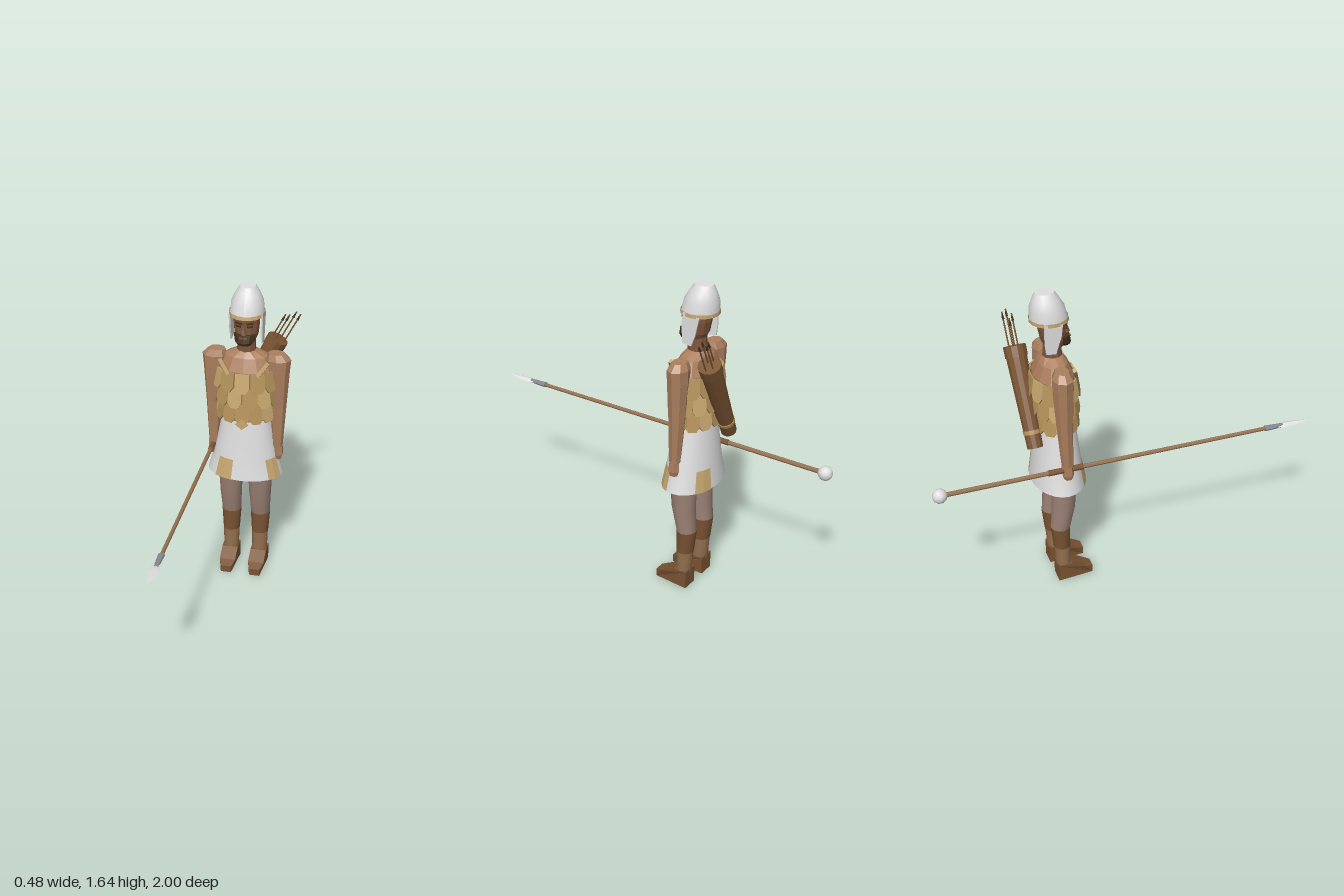
import * as THREE from 'three';

const mat = (name, color, side = THREE.FrontSide) => {
  const m = new THREE.MeshStandardMaterial({ color, side });
  m.name = name;
  return m;
};

// Skin over elliptical rings [x, y, z, rx, rz], listed bottom to top, angle 0 facing front
function loft(rings, n, { flat = true, from = 0, to = 360, caps = true } = {}) {
  const pos = [], idx = [];
  const rad = Math.PI / 180;
  for (const [x, y, z, rx, rz] of rings) {
    for (let i = 0; i <= n; i++) {
      const a = (from + ((to - from) * i) / n) * rad;
      pos.push(x + rx * Math.sin(a), y, z + rz * Math.cos(a));
    }
  }
  const w = n + 1;
  for (let r = 0; r < rings.length - 1; r++) {
    for (let i = 0; i < n; i++) {
      const a = r * w + i, b = a + 1, c = a + w, d = b + w;
      idx.push(a, b, d, a, d, c);
    }
  }
  if (caps) {
    for (const r of [0, rings.length - 1]) {
      const base = pos.length / 3;
      const [x, y, z] = rings[r];
      pos.push(x, y, z);
      for (let i = 0; i <= n; i++) pos.push(...pos.slice((r * w + i) * 3, (r * w + i) * 3 + 3));
      for (let i = 1; i <= n; i++) idx.push(base, ...(r ? [base + i, base + i + 1] : [base + i + 1, base + i]));
    }
  }
  let g = new THREE.BufferGeometry();
  g.setAttribute('position', new THREE.Float32BufferAttribute(pos, 3));
  g.setIndex(idx);
  if (flat) g = g.toNonIndexed();
  g.computeVertexNormals();
  return g;
}

function outline(points, depth) {
  const s = new THREE.Shape(points.map(([x, y]) => new THREE.Vector2(x, y)));
  return new THREE.ExtrudeGeometry(s, { depth, bevelEnabled: false });
}

export function createModel() {
  const skin = mat('skin', 0xab7f5e), face = mat('face skin', 0x7d563c);
  const legSkin = mat('leg skin', 0x9c8276), gold = mat('gold', 0xb4925a);
  const pale = mat('pale gold', 0xc8a870, THREE.DoubleSide), leather = mat('leather', 0x7a5433);
  const white = mat('white', 0xdedede, THREE.DoubleSide), steel = mat('steel', 0x85888c);
  const wood = mat('wood', 0x94704f), dark = mat('dark brown', 0x46301f);

  const model = new THREE.Group();
  const body = new THREE.Group();
  body.name = 'figure';
  body.position.set(-0.02, 0, -0.33);
  model.add(body);
  const add = (name, geo, material, parent = body, p = [0, 0, 0], r = [0, 0, 0]) => {
    const m = new THREE.Mesh(geo, material);
    m.name = name;
    m.position.set(...p);
    m.rotation.set(...r);
    parent.add(m);
    return m;
  };

  // Torso and neck
  add('torso', loft([[0, 0.9, 0, 0.12, 0.09], [0, 1.1, 0, 0.14, 0.1], [0, 1.21, 0, 0.15, 0.1],
    [0, 1.28, 0, 0.115, 0.07], [0, 1.31, 0, 0.05, 0.048]], 12), skin);
  add('neck', loft([[0, 1.29, 0, 0.05, 0.05], [0, 1.4, 0.002, 0.045, 0.045]], 10), face);

  // Kilt with three hem patches
  const kilt = [[0, 0.597, 0.005, 0.203, 0.137], [0, 0.71, 0.003, 0.17, 0.122], [0, 0.93, 0, 0.128, 0.1]];
  add('kilt', loft(kilt, 24, { flat: false, caps: false }), white);
  const patch = kilt.slice(0, 2).map(([x, y, z, rx, rz]) => [x, y, z, rx + 0.003, rz + 0.003]);
  for (const a of [-45, 45, 135])
    add('kiltPatch', loft(patch, 2, { from: a, to: a + 30, caps: false }), pale);

  // Scale armour: three overlapping rows of pointed plates
  const scale = outline([[-0.036, 0], [0.036, 0], [0.038, -0.075], [0.02, -0.105], [-0.02, -0.105], [-0.038, -0.075]], 0.009);
  [[1.21, 0.148, 0.102], [1.12, 0.143, 0.099], [1.03, 0.132, 0.095]].forEach(([y, rx, rz], row) => {
    for (let i = 0; i < 12; i++) {
      const a = ((i + (row % 2) * 0.5) / 12) * Math.PI * 2;
      const turn = Math.atan2(Math.sin(a) / rx, Math.cos(a) / rz);
      const m = add('armourScale', scale, (i * 5 + row * 2) % 7 < 2 ? pale : gold, body,
        [rx * Math.sin(a), y, rz * Math.cos(a)], [-0.16, turn, 0]);
      m.rotation.order = 'YXZ';
    }
  });
  const tip = outline([[-0.035, 0], [0, 0.03], [0.035, 0], [0, -0.028]], 0.01);
  add('beltOrnament', tip, pale, body, [0, 0.925, 0.112]);

  for (const s of [-1, 1]) {
    // Shoulder strap
    add('shoulderStrap', new THREE.BoxGeometry(0.02, 0.09, 0.014), gold, body, [s * 0.1, 1.235, 0.083], [-0.35, 0, -s * 0.6]);

    // Arm and hand
    add('arm', loft([[s * 0.172, 0.765, 0.01, 0.027, 0.03], [s * 0.17, 1.0, 0.002, 0.043, 0.042],
      [s * 0.166, 1.2, 0, 0.06, 0.053], [s * 0.166, 1.265, 0, 0.066, 0.053],
      [s * 0.155, 1.298, 0, 0.045, 0.035]], 8), skin);
    add('hand', loft([[s * 0.178, 0.69, 0.012, 0.018, 0.022], [s * 0.178, 0.715, 0.012, 0.025, 0.03],
      [s * 0.175, 0.77, 0.01, 0.025, 0.027]], 6), skin);

    // Leg, shin guard, ankle
    const x = s * 0.08;
    add('upperLeg', loft([[x, 0.325, -0.01, 0.052, 0.05], [x, 0.46, 0.01, 0.06, 0.061],
      [x, 0.66, 0.015, 0.07, 0.072]], 12, { flat: false }), legSkin);
    add('shinGuard', loft([[x, 0.205, -0.004, 0.046, 0.044], [x, 0.33, -0.01, 0.054, 0.052]], 12, { flat: false }), leather);
    add('ankle', loft([[x, 0.07, 0.002, 0.041, 0.038], [x, 0.21, -0.003, 0.045, 0.043]], 12, { flat: false }), wood);

    // Shoe: side profile extruded across, narrowed at the toe
    const shoe = outline([[0.035, 0], [-0.154, 0], [-0.154, 0.04], [-0.11, 0.057], [-0.04, 0.095], [0.035, 0.095]], 0.087);
    shoe.rotateY(Math.PI / 2);
    const p = shoe.attributes.position;
    for (let i = 0; i < p.count; i++)
      p.setX(i, (p.getX(i) - 0.0435) * (p.getZ(i) > 0.15 ? 0.65 : 1));
    shoe.computeVertexNormals();
    add('shoe', shoe, leather, body, [x, 0, 0]);

    // Helmet cheek flap
    const flap = outline([[-0.045, 0], [0.045, 0], [0.035, -0.1], [0.022, -0.155], [-0.026, -0.155], [-0.045, -0.06]], 0.008);
    add('cheekFlap', flap, white, body, [s * 0.083 - 0.004, 1.51, -0.012], [0, Math.PI / 2, s * -0.12]);

    // Eye and brow
    add('eye', new THREE.BoxGeometry(0.028, 0.008, 0.006), dark, body, [s * 0.03, 1.458, 0.066], [0, s * 0.35, 0]);
    add('brow', new THREE.BoxGeometry(0.036, 0.007, 0.009), dark, body, [s * 0.03, 1.475, 0.066], [0, s * 0.35, s * 0.1]);
  }

  // Head, nose, beard and mouth
  add('head', loft([[0, 1.36, 0.015, 0.045, 0.05], [0, 1.4, 0.008, 0.062, 0.064],
    [0, 1.46, 0, 0.068, 0.068], [0, 1.53, 0, 0.07, 0.07]], 12), face);
  add('nose', new THREE.ConeGeometry(0.017, 0.05, 4), face, body, [0, 1.443, 0.075]);
  add('beard', loft([[0, 1.36, 0.06, 0.035, 0.03], [0, 1.375, 0.058, 0.048, 0.037],
    [0, 1.415, 0.045, 0.058, 0.04]], 10), dark);
  add('mouth', new THREE.BoxGeometry(0.04, 0.009, 0.008), face, body, [0, 1.402, 0.086]);

  // Helmet with brow band
  add('helmet', loft([[0, 1.5, -0.01, 0.09, 0.094], [0, 1.565, -0.018, 0.083, 0.086],
    [0, 1.61, -0.024, 0.062, 0.066], [0, 1.645, -0.028, 0.04, 0.048]], 16, { flat: false }), white);
  add('helmetBand', loft([[0, 1.498, -0.01, 0.093, 0.097], [0, 1.517, -0.012, 0.0925, 0.0955]], 16, { caps: false }), pale);

  // Quiver, built upright and tilted across the back
  const low = new THREE.Vector3(-0.12, 0.86, -0.46), high = new THREE.Vector3(0.115, 1.31, -0.478);
  const quiver = new THREE.Group();
  quiver.name = 'quiver';
  quiver.position.copy(low);
  const dir = high.clone().sub(low), len = dir.length();
  quiver.quaternion.setFromUnitVectors(new THREE.Vector3(0, 1, 0), dir.normalize());
  model.add(quiver);
  add('quiverBody', loft([[0, 0, 0, 0.04, 0.04], [0, len - 0.05, 0, 0.053, 0.053]], 12), leather, quiver);
  add('quiverRim', loft([[0, len - 0.055, 0, 0.057, 0.057], [0, len, 0, 0.057, 0.057]], 12), leather, quiver);
  add('quiverBand', loft([[0, 0.07, 0, 0.045, 0.045], [0, 0.09, 0, 0.046, 0.046]], 12), gold, quiver);
  [[0.035, 0.19, 0], [0.012, 0.18, -0.025], [-0.012, 0.165, 0.015], [-0.03, 0.145, -0.005]].forEach(([x, h, z]) => {
    add('arrow', new THREE.CylinderGeometry(0.004, 0.004, h, 5), leather, quiver, [x, len + h / 2 - 0.01, z]);
    add('arrowNock', new THREE.CylinderGeometry(0.003, 0.007, 0.035, 5), dark, quiver, [x, len + h - 0.03, z]);
  });

  // Spear, built upright and laid forward in the right hand
  const spear = new THREE.Group();
  spear.name = 'spear';
  spear.position.set(-0.193, 0.743, 0);
  spear.rotation.x = Math.PI / 2;
  model.add(spear);
  add('shaft', loft([[0, -0.95, 0, 0.012, 0.012], [0, 0.78, 0, 0.01, 0.01]], 8), wood, spear);
  add('grip', loft([[0, -0.42, 0, 0.015, 0.015], [0, -0.24, 0, 0.015, 0.015]], 8), leather, spear);
  add('socket', loft([[0, 0.75, 0, 0.017, 0.014], [0, 0.85, 0, 0.012, 0.01]], 8), steel, spear);
  add('blade', loft([[0, 0.8, 0, 0.01, 0.006], [0, 0.87, 0, 0.025, 0.011],
    [0, 0.93, 0, 0.018, 0.008], [0, 1.0, 0, 0.001, 0.001]], 4), white, spear);
  add('counterweight', new THREE.IcosahedronGeometry(0.038, 1), white, spear, [0, -0.962, 0]);

  return model;
}
